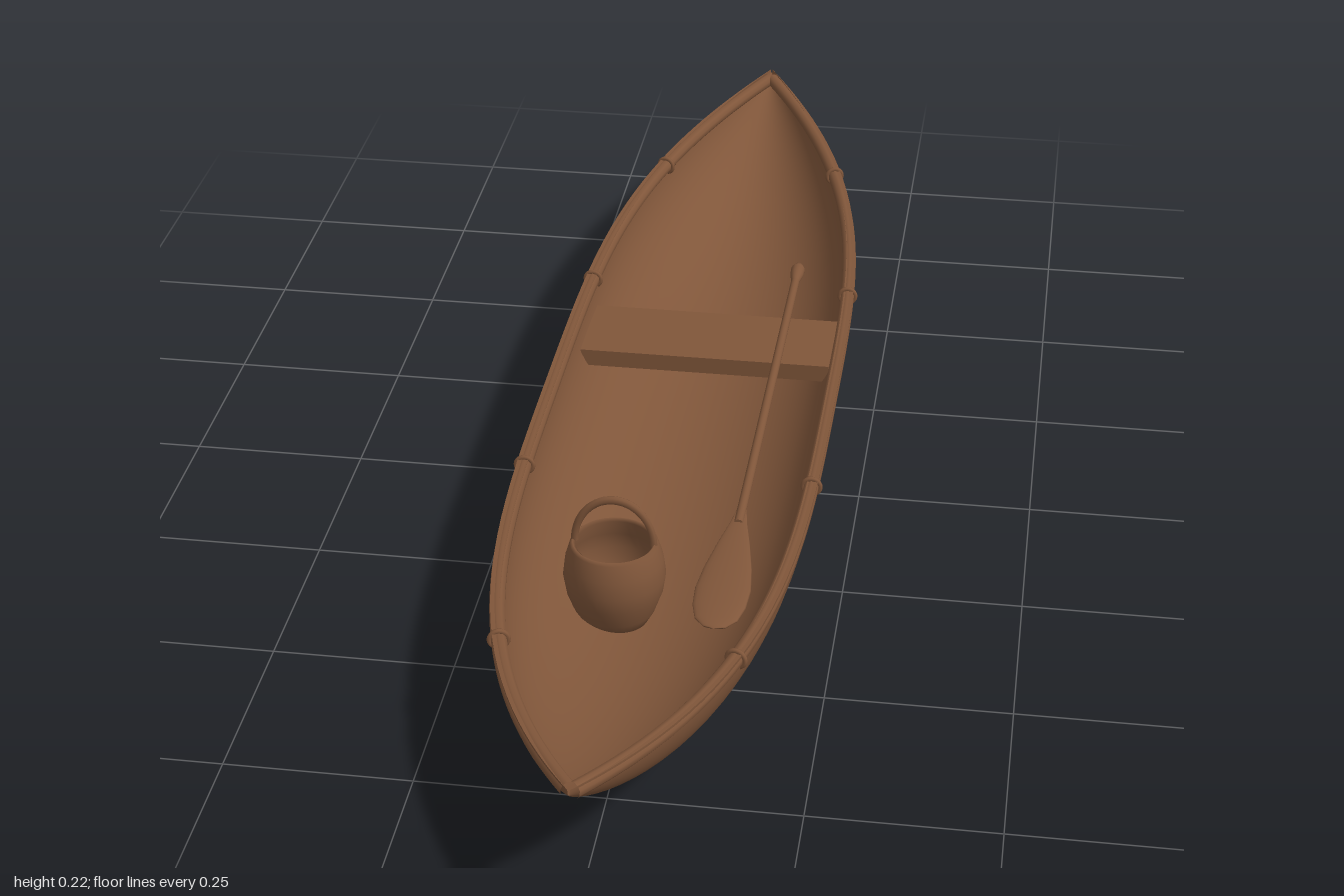
import * as THREE from 'three';

const wood = new THREE.MeshStandardMaterial({ color: 0x80563a });
wood.name = 'brown wood';

// Hull lines along the length, z from -1 to 1
const halfWidth = z => 0.21 * (1 - Math.abs(z) ** 3.4) + 0.0015;
const sheer = z => 0.17 + (z > 0 ? 0.042 : 0.055) * Math.abs(z) ** 3.4;
const keel = z => 0.003 + (z > 0 ? 0.2 : 0.215) * Math.abs(z) ** 4.3;

// Surface from a rule (u, v) => [x, y, z]
function surface(rule, nu, nv) {
  const pos = [], index = [];
  for (let i = 0; i <= nu; i++)
    for (let j = 0; j <= nv; j++) pos.push(...rule(i / nu, j / nv));
  for (let i = 0; i < nu; i++)
    for (let j = 0; j < nv; j++) {
      const a = i * (nv + 1) + j, b = a + nv + 1;
      index.push(a, b, a + 1, b, b + 1, a + 1);
    }
  const g = new THREE.BufferGeometry();
  g.setAttribute('position', new THREE.Float32BufferAttribute(pos, 3));
  g.setIndex(index);
  g.computeVertexNormals();
  return g;
}

// Point on a cross-section; inset 1 is the outer skin, less is the lining
function section(z, angle, inW, inD) {
  const top = sheer(z), d = Math.max(top - keel(z), 0.002);
  return [halfWidth(z) * inW * Math.cos(angle), top - d * inD * Math.sin(angle), z];
}

function add(parent, name, geometry, x = 0, y = 0, z = 0) {
  const m = new THREE.Mesh(geometry, wood);
  m.name = name;
  m.position.set(x, y, z);
  parent.add(m);
  return m;
}

const station = u => -Math.cos(Math.PI * u);
const IN_W = 0.93, IN_D = 0.9;

function buildHull() {
  const hull = new THREE.Group();
  hull.name = 'hull';
  add(hull, 'outerHull', surface((u, v) => section(station(u), v * Math.PI, 1, 1), 64, 32));
  add(hull, 'innerHull', surface((u, v) => section(station(u), (1 - v) * Math.PI, IN_W, IN_D), 64, 32));
  for (const side of [1, -1]) {
    const rim = (u, v) => {
      const k = side > 0 ? v : 1 - v;
      return section(station(u), side > 0 ? 0 : Math.PI, IN_W + (1 - IN_W) * k, 1);
    };
    add(hull, 'rim', surface(rim, 64, 1));

    // Rounded gunwale along the top edge
    const pts = [];
    for (let i = 0; i <= 40; i++) {
      const z = 0.985 * station(i / 40);
      pts.push(new THREE.Vector3(side * Math.max(halfWidth(z) - 0.009, 0.001), sheer(z) - 0.0095, z));
    }
    add(hull, 'gunwale', new THREE.TubeGeometry(new THREE.CatmullRomCurve3(pts), 80, 0.0105, 10));

    // Lashings wrapped around the gunwale
    for (const z of [-0.7, -0.32, 0.23, 0.66]) {
      const slope = (halfWidth(z + 0.01) - halfWidth(z - 0.01)) / 0.02;
      const ring = add(hull, 'lashing', new THREE.TorusGeometry(0.012, 0.0035, 8, 20),
        side * (halfWidth(z) - 0.009), sheer(z) - 0.0095, z);
      ring.rotation.y = side * Math.atan(slope);
    }
  }
  return hull;
}

function lathe(points, segments = 32) {
  return new THREE.LatheGeometry(points.map(p => new THREE.Vector2(...p)), segments);
}

function buildBasket() {
  const basket = new THREE.Group();
  basket.name = 'basket';
  basket.position.set(-0.05, 0, 0.38);
  add(basket, 'basketBody', lathe([[0, 0.022], [0.045, 0.022], [0.056, 0.042], [0.066, 0.07], [0.07, 0.095],
    [0.067, 0.12], [0.06, 0.143], [0.056, 0.147], [0.052, 0.143], [0.06, 0.118], [0.063, 0.095],
    [0.058, 0.065], [0.042, 0.035], [0, 0.033]]));
  const handle = add(basket, 'basketHandle', new THREE.TorusGeometry(0.054, 0.005, 8, 28, Math.PI), 0, 0.143, 0);
  handle.scale.set(1, 1.25, 1);
  return basket;
}

function buildPaddle() {
  const paddle = new THREE.Group();
  paddle.name = 'paddle';
  paddle.position.set(0.11, 0.143, 0);
  paddle.rotation.x = Math.PI / 2; // local y runs along the boat
  add(paddle, 'paddleShaft', new THREE.CylinderGeometry(0.0065, 0.0065, 0.73, 14), 0, -0.055, 0);
  add(paddle, 'paddleGrip', lathe([[0, -0.442], [0.007, -0.44], [0.011, -0.428], [0.01, -0.41], [0.0065, -0.39]], 16));
  // Flat blade, broadest near its end
  const blade = add(paddle, 'paddleBlade', lathe([[0.006, 0.27], [0.012, 0.31], [0.022, 0.36], [0.032, 0.42],
    [0.037, 0.47], [0.035, 0.51], [0.028, 0.54], [0.015, 0.556], [0, 0.56]], 24));
  blade.scale.z = 0.2;
  return paddle;
}

export function createModel() {
  const canoe = new THREE.Group();
  canoe.name = 'canoe';
  canoe.add(buildHull(), buildBasket(), buildPaddle());
  add(canoe, 'seat', new THREE.BoxGeometry(0.376, 0.026, 0.14), -0.001, 0.119, -0.22);
  return canoe;
}
